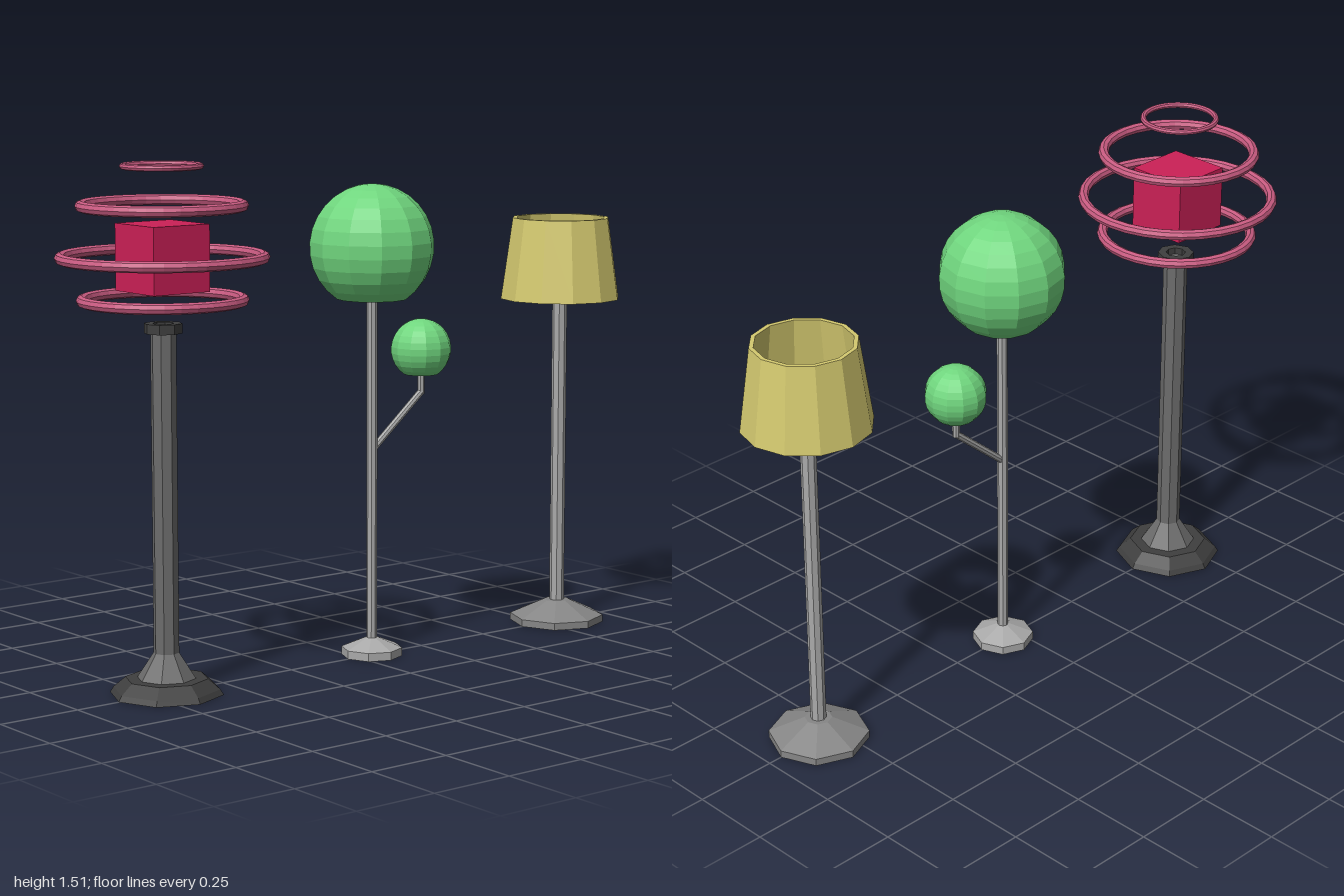
import * as THREE from 'three';

const mat = (name, color, double = false) => {
  const m = new THREE.MeshStandardMaterial({ color, flatShading: true });
  m.name = name;
  if (double) m.side = THREE.DoubleSide;
  return m;
};

export function createModel() {
  const charcoal = mat('charcoal', 0x3f3f3f);
  const darkGrey = mat('dark grey', 0x6c6c6c);
  const midGrey = mat('mid grey', 0x868686);
  const lightGrey = mat('light grey', 0xa9a9a9);
  const crimson = mat('crimson', 0xcc2057);
  const rose = mat('rose', 0xca5c82);
  const green = mat('green', 0x70d67e, true);
  const yellow = mat('yellow', 0xd4c96f, true);

  const model = new THREE.Group();
  model.name = 'threeFloorLamps';

  const lamp = (name, x) => {
    const g = new THREE.Group();
    g.name = name;
    g.position.x = x;
    model.add(g);
    return g;
  };
  const add = (parent, name, geo, material, x = 0, y = 0, z = 0) => {
    const m = new THREE.Mesh(geo, material);
    m.name = name;
    m.position.set(x, y, z);
    parent.add(m);
    return m;
  };
  // Revolved profile of [radius, height] pairs, listed bottom to top
  const turned = (parent, name, pts, material, sides = 8) =>
    add(parent, name, new THREE.LatheGeometry(pts.map(p => new THREE.Vector2(...p)), sides), material);
  // Straight rod between two points
  const rod = (parent, name, a, b, r, material, sides = 8) => {
    const from = new THREE.Vector3(...a), to = new THREE.Vector3(...b);
    const dir = to.clone().sub(from);
    const m = add(parent, name, new THREE.CylinderGeometry(r, r, dir.length(), sides), material);
    m.position.copy(from).add(to).multiplyScalar(0.5);
    m.quaternion.setFromUnitVectors(new THREE.Vector3(0, 1, 0), dir.normalize());
    return m;
  };

  // Ringed lamp: stepped foot, flared post, collar, cube and floating hoops
  const ringLamp = lamp('ringLamp', -0.697);
  turned(ringLamp, 'foot', [[0, 0], [0.165, 0], [0.155, 0.016], [0.12, 0.046], [0, 0.046]], charcoal);
  turned(ringLamp, 'post', [[0.085, 0.046], [0.037, 0.12], [0.037, 1.045], [0, 1.045]], darkGrey);
  turned(ringLamp, 'collar',
    [[0.03, 1.037], [0.055, 1.037], [0.055, 1.065], [0.03, 1.065], [0.03, 1.045]], charcoal);
  add(ringLamp, 'cube', new THREE.BoxGeometry(0.19, 0.19, 0.19), crimson, 0, 1.25, 0);
  for (const [y, outer, tube] of [
    [1.13, 0.243, 0.016], [1.25, 0.302, 0.016], [1.395, 0.243, 0.016], [1.505, 0.118, 0.009],
  ]) {
    add(ringLamp, 'hoop', new THREE.TorusGeometry(outer - tube, tube, 8, 32), rose, 0, y, 0)
      .rotation.x = Math.PI / 2;
  }

  // Globe lamp: slim post with a side branch, two open-bottomed globes
  const globeLamp = lamp('globeLamp', 0.055);
  turned(globeLamp, 'foot', [[0, 0], [0.092, 0], [0.092, 0.025], [0.02, 0.055], [0, 0.055]], lightGrey);
  rod(globeLamp, 'post', [0, 0.04, 0], [0, 1.12, 0], 0.016, lightGrey);
  rod(globeLamp, 'branch', [0, 0.627, 0], [0.19, 0.787, 0], 0.011, lightGrey);
  rod(globeLamp, 'branchTip', [0.19, 0.78, 0], [0.19, 0.87, 0], 0.011, lightGrey);
  for (const [name, r, x, y] of [['largeGlobe', 0.187, 0, 1.237], ['smallGlobe', 0.092, 0.19, 0.917]]) {
    add(globeLamp, name,
      new THREE.SphereGeometry(r, 12, 12, 0, Math.PI * 2, 0, Math.PI * 0.81), green, x, y, 0);
  }

  // Shade lamp: post, tapered shade carried on spokes, small bulb
  const shadeLamp = lamp('shadeLamp', 0.81);
  turned(shadeLamp, 'foot', [[0, 0], [0.147, 0], [0.147, 0.022], [0.04, 0.07], [0, 0.07]], midGrey);
  rod(shadeLamp, 'post', [0, 0.06, 0], [0, 1.1, 0], 0.023, lightGrey);
  turned(shadeLamp, 'shade',
    [[0.175, 1.033], [0.188, 1.033], [0.152, 1.286], [0.139, 1.286], [0.175, 1.033]], yellow, 12);
  for (let i = 0; i < 4; i++) {
    const a = i * Math.PI / 2;
    rod(shadeLamp, 'spoke', [0, 1.085, 0],
      [0.17 * Math.cos(a), 1.085, 0.17 * Math.sin(a)], 0.005, midGrey, 6);
  }
  add(shadeLamp, 'bulb', new THREE.SphereGeometry(0.032, 8, 6), yellow, 0, 1.12, 0);

  return model;
}
